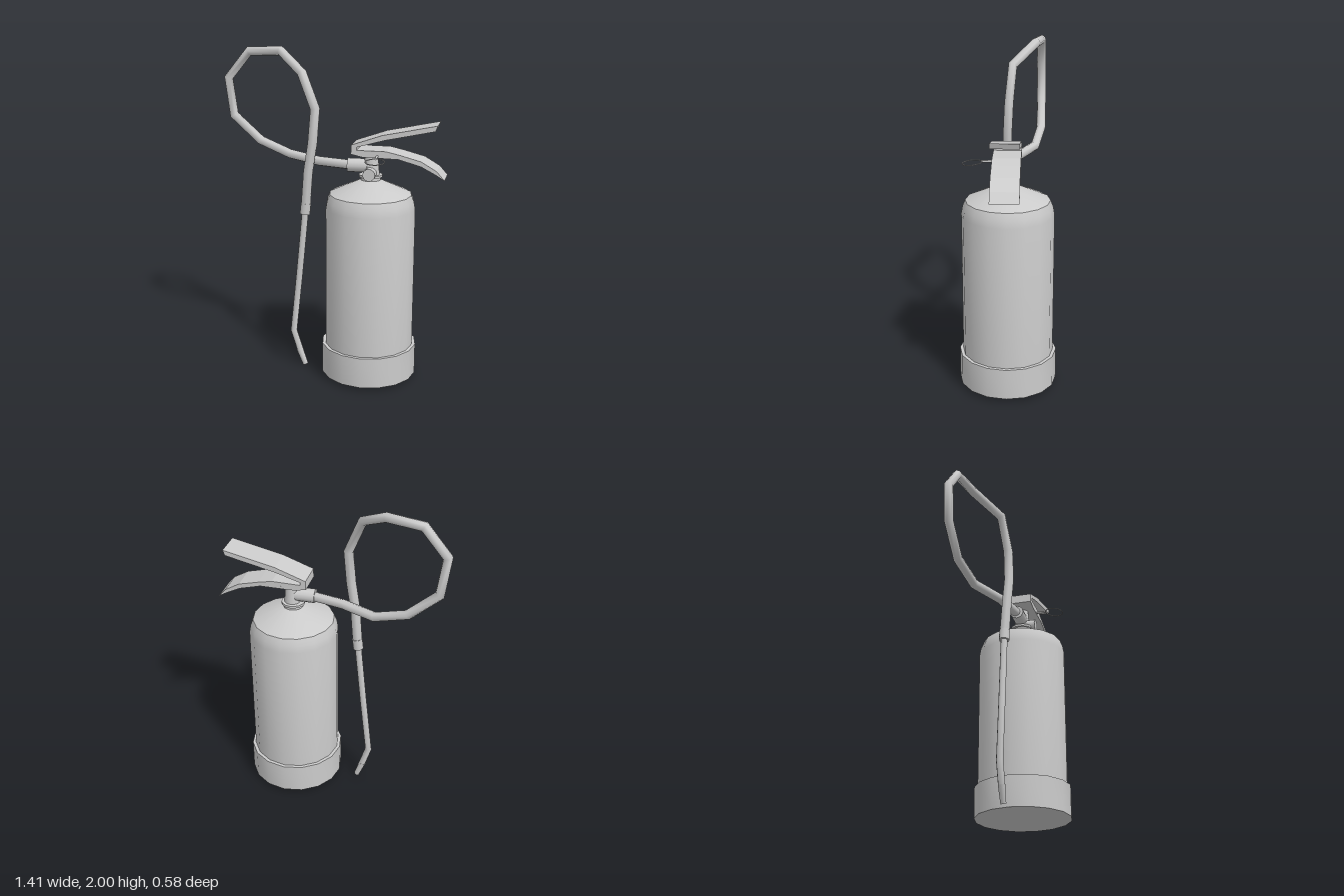
import * as THREE from 'three';
import { toCreasedNormals } from 'three/addons/utils/BufferGeometryUtils.js';

const BODY_X = 0.253;
const material = new THREE.MeshStandardMaterial({ color: 0xcccccc });

// Curve whose samples land exactly on the corners, giving mitred bends.
class CornerPath extends THREE.Curve {
  constructor(points) {
    super();
    this.points = points.map((p) => new THREE.Vector3(...p));
  }
  getPointAt(u, target = new THREE.Vector3()) {
    return target.copy(this.points[Math.round(u * (this.points.length - 1))]);
  }
  getTangentAt(u, target = new THREE.Vector3()) {
    const p = this.points, i = Math.round(u * (p.length - 1));
    target.set(0, 0, 0);
    if (i > 0) target.add(p[i].clone().sub(p[i - 1]).normalize());
    if (i < p.length - 1) target.add(p[i + 1].clone().sub(p[i]).normalize());
    return target.normalize();
  }
}

export function createModel() {
  const model = new THREE.Group();

  const add = (name, geometry, x = 0, y = 0, z = 0) => {
    const mesh = new THREE.Mesh(geometry, material);
    mesh.name = name;
    mesh.position.set(x, y, z);
    model.add(mesh);
    return mesh;
  };
  const lathe = (name, profile, sides = 16) =>
    add(name, toCreasedNormals(
      new THREE.LatheGeometry(profile.map((p) => new THREE.Vector2(...p)), sides), 0.5), BODY_X);
  const tube = (name, points, radius) =>
    add(name, new THREE.TubeGeometry(new CornerPath(points), points.length - 1, radius, 8));
  // Capped round bar between two points
  const rod = (name, from, to, r0, r1 = r0, sides = 12) => {
    const a = new THREE.Vector3(...from), b = new THREE.Vector3(...to);
    const dir = b.clone().sub(a);
    const mid = a.clone().add(b).multiplyScalar(0.5);
    const mesh = add(name, new THREE.CylinderGeometry(r1, r0, dir.length(), sides), mid.x, mid.y, mid.z);
    mesh.quaternion.setFromUnitVectors(new THREE.Vector3(0, 1, 0), dir.normalize());
    return mesh;
  };

  // Cylinder and its foot
  lathe('tank', [[0, 0.05], [0.271, 0.05], [0.271, 1.08], [0.263, 1.125], [0.247, 1.165], [0.06, 1.25], [0, 1.25]]);
  lathe('baseBoot', [[0, 0.028], [0.291, 0.028], [0.291, 0.217], [0.268, 0.217]]);

  // Valve
  lathe('neckRing', [[0, 1.23], [0.06, 1.23], [0.06, 1.265], [0.07, 1.268], [0.07, 1.282], [0, 1.282]]);
  rod('valveBody', [0.257, 1.265, 0], [0.257, 1.42, 0], 0.05, 0.038, 16);
  rod('pressureGauge', [0.257, 1.295, 0], [0.257, 1.295, 0.09], 0.037, 0.037, 16);
  rod('hoseCollar', [0.115, 1.333, 0.003], [0.235, 1.333, 0], 0.042);

  // Squeeze levers: one bent plate profile, extruded across its width
  const outline = [
    [0.148, 1.415], [0.22, 1.4], [0.43, 1.397], [0.563, 1.36], [0.645, 1.318], [0.7, 1.285],
    [0.653, 1.338], [0.563, 1.39], [0.44, 1.422], [0.357, 1.44], [0.183, 1.44], [0.183, 1.458],
    [0.345, 1.505], [0.64, 1.57], [0.653, 1.603], [0.335, 1.535], [0.15, 1.47],
  ].map((p) => new THREE.Vector2(...p));
  add('levers', new THREE.ExtrudeGeometry(new THREE.Shape(outline), { depth: 0.163, bevelEnabled: false }), 0, 0, -0.078);

  // Safety pin and pull ring
  rod('safetyPin', [0.305, 1.412, -0.08], [0.305, 1.408, 0.148], 0.007, 0.007, 8);
  const ring = add('pullRing', new THREE.TorusGeometry(0.056, 0.003, 6, 20), 0.313, 1.402, 0.2);
  ring.rotation.x = Math.PI / 2 + 0.1;

  // Looping hose
  tube('hose', [
    [0.13, 1.333, 0], [-0.07, 1.335, -0.045], [-0.28, 1.347, -0.15], [-0.48, 1.417, -0.187],
    [-0.65, 1.57, -0.187], [-0.68, 1.803, -0.185], [-0.545, 1.967, -0.183], [-0.335, 1.978, -0.15],
    [-0.17, 1.87, -0.015], [-0.085, 1.66, 0.005], [-0.1, 1.45, 0.015], [-0.128, 1.28, 0.01], [-0.148, 1.04, 0],
  ], 0.029);

  // Discharge wand
  rod('wandFerrule', [-0.144, 1.08, 0.001], [-0.152, 1.012, 0], 0.031);
  tube('wand', [[-0.15, 1.03, 0], [-0.19, 0.62, 0], [-0.23, 0.24, 0], [-0.185, 0.095, 0]], 0.021);
  rod('nozzle', [-0.193, 0.115, 0], [-0.155, 0.013, 0], 0.021, 0.017);

  return model;
}
